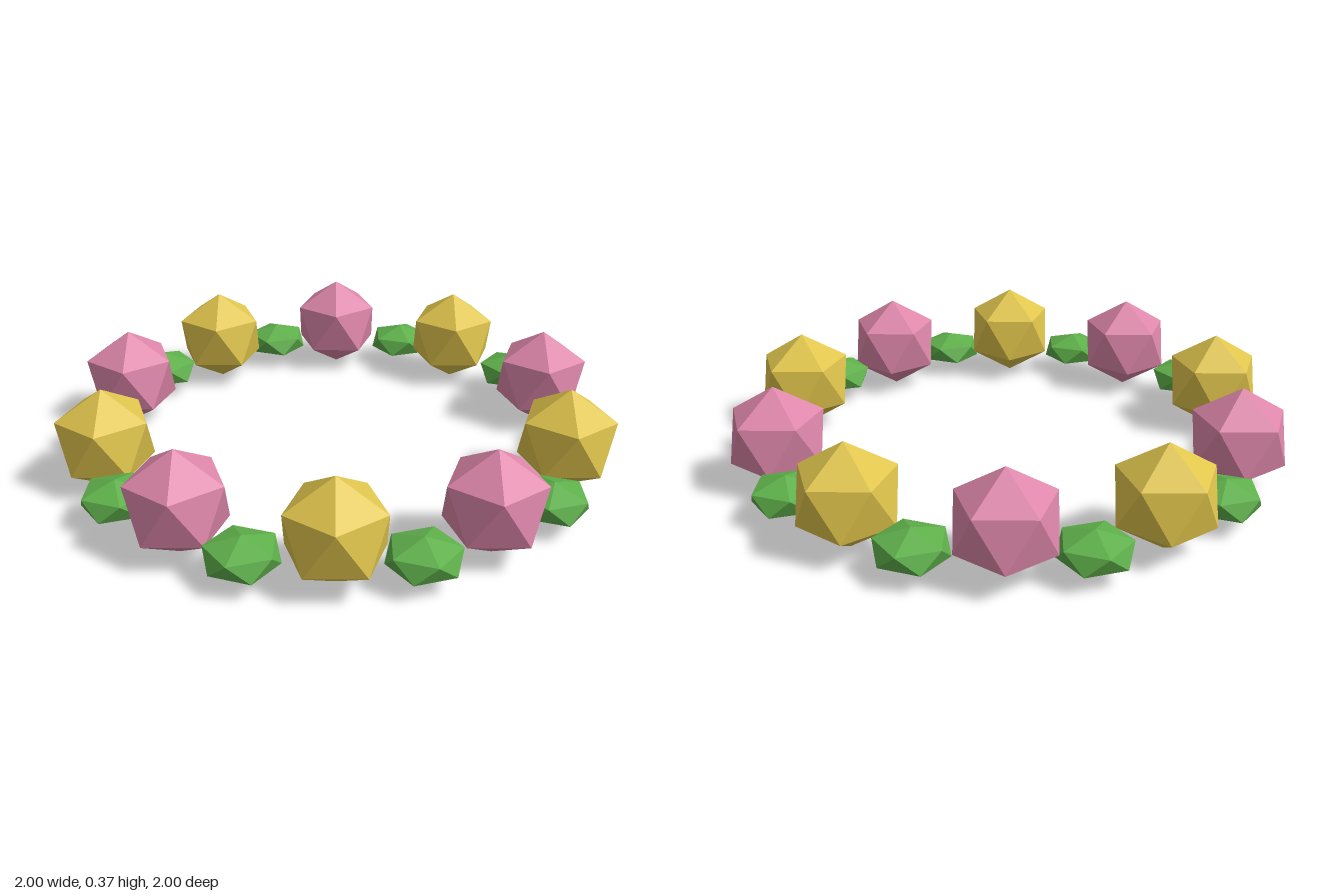
import * as THREE from 'three';

export function createModel() {
  const model = new THREE.Group();
  model.name = 'flowerWreath';

  const material = (name, color) => {
    const m = new THREE.MeshStandardMaterial({ color, flatShading: true });
    m.name = name;
    return m;
  };
  const yellow = material('yellow', 0xdfc44c);
  const pink = material('pink', 0xdd86a9);
  const green = material('leafGreen', 0x5fb04b);

  // Icosahedron standing on a vertex, with an upper ring vertex towards +x
  const gem = (radius) =>
    new THREE.IcosahedronGeometry(radius, 0).rotateZ(-Math.atan(2 / (1 + Math.sqrt(5))));
  const flowerGeometry = gem(0.184);
  const leafGeometry = gem(0.133).scale(1, 0.51, 1);

  const addToRing = (name, geometry, mat, angle, radius, y) => {
    const mesh = new THREE.Mesh(geometry, mat);
    mesh.name = name;
    mesh.position.set(radius * Math.cos(angle), y, radius * Math.sin(angle));
    model.add(mesh);
    return mesh;
  };

  // Alternating yellow and pink blossoms with a flattened leaf after each
  const step = Math.PI / 5;
  for (let i = 0; i < 10; i++) {
    const angle = i * step;
    addToRing('flower' + (i + 1), flowerGeometry, i % 2 ? pink : yellow, angle, 0.836, 0.184);
    const leafAngle = angle + step / 2 + 0.01;
    const leaf = addToRing('leaf' + (i + 1), leafGeometry, green, leafAngle, 0.881, 0.097);
    leaf.rotation.y = -leafAngle;
  }
  return model;
}
